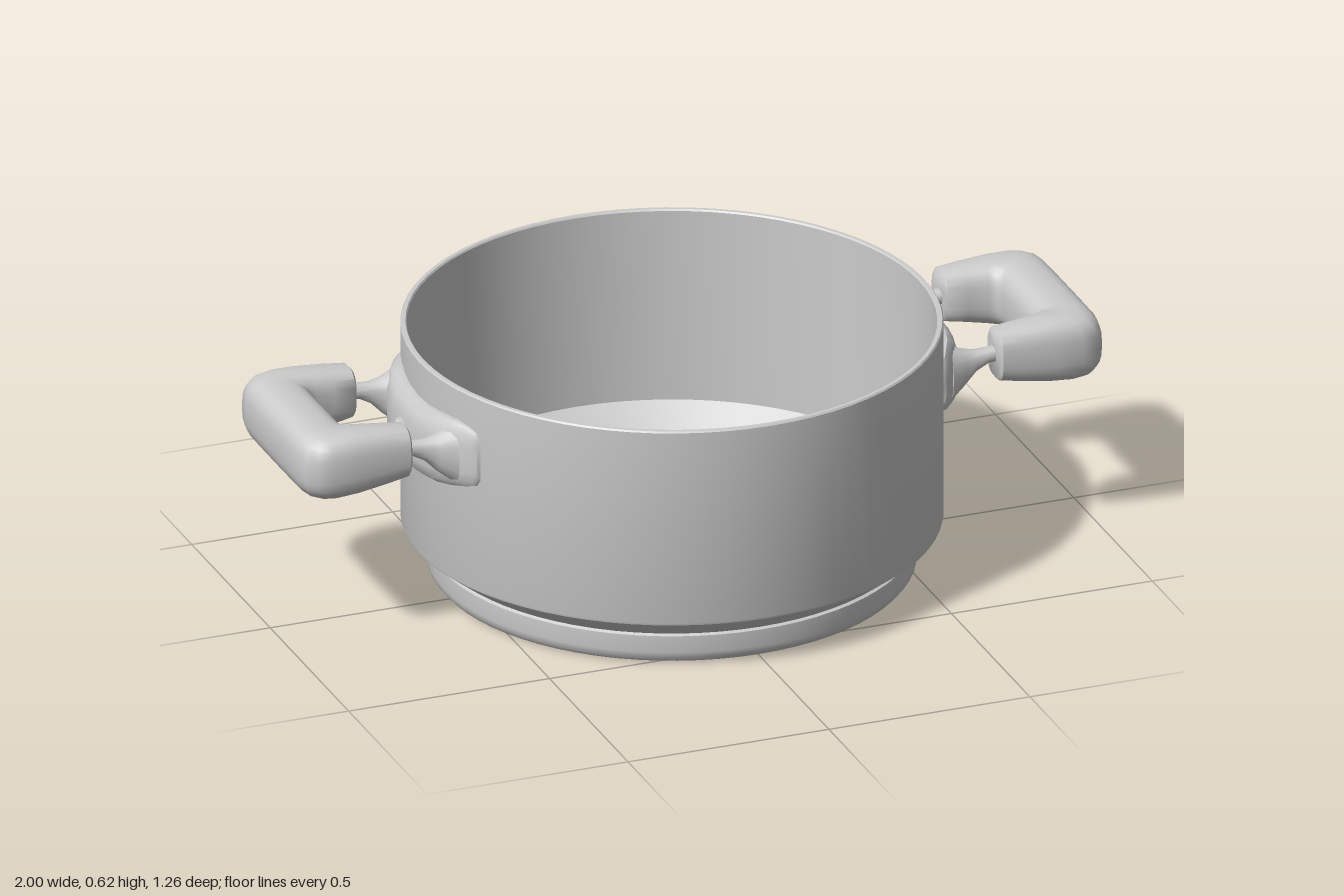
import * as THREE from 'three';
import { toCreasedNormals } from 'three/addons/utils/BufferGeometryUtils.js';

const material = new THREE.MeshStandardMaterial({ color: 0xcccccc });

function part(name, geometry, crease = 0.6) {
  const mesh = new THREE.Mesh(toCreasedNormals(geometry, crease), material);
  mesh.name = name;
  return mesh;
}

// Closed skin through equal-sized rings of [x, y, z], capped at both ends.
function loft(rings) {
  const n = rings[0].length;
  const points = rings.flat();
  const tris = [];
  for (let i = 0; i < rings.length - 1; i++) {
    for (let j = 0; j < n; j++) {
      const a = i * n + j, b = i * n + (j + 1) % n;
      tris.push([a, b, a + n], [b, b + n, a + n]);
    }
  }
  const last = (rings.length - 1) * n;
  for (let j = 1; j < n - 1; j++) {
    tris.push([0, j + 1, j], [last, last + j, last + j + 1]);
  }
  // Turn the faces outward when the rings run the other way.
  const v = points.map((p) => new THREE.Vector3(...p));
  const volume = tris.reduce((s, [a, b, c]) => s + v[a].dot(v[b].clone().cross(v[c])), 0);
  if (volume < 0) tris.forEach((t) => t.reverse());
  const geometry = new THREE.BufferGeometry();
  geometry.setAttribute('position', new THREE.Float32BufferAttribute(points.flat(), 3));
  geometry.setIndex(tris.flat());
  geometry.computeVertexNormals();
  return geometry;
}

// Unit rounded-square outline; a higher power is squarer.
function outline(count, power) {
  return Array.from({ length: count }, (_, i) => {
    const a = (i / count) * Math.PI * 2;
    const f = (t) => Math.sign(t) * Math.pow(Math.abs(t), 2 / power);
    return [f(Math.cos(a)), f(Math.sin(a))];
  });
}

function createBody() {
  const profile = [
    [0.54, 0], [0.557, 0.004], [0.567, 0.016], [0.57, 0.03], [0.57, 0.072], [0.563, 0.076],
    [0.628, 0.126], [0.63, 0.132], [0.63, 0.616], [0.627, 0.62], [0.618, 0.62], [0.615, 0.616],
    [0.615, 0.136], [0.553, 0.085], [0.553, 0.026], [0.54, 0.016], [0.54, 0],
  ].map(([r, y]) => new THREE.Vector2(r, y));
  return part('potBody', new THREE.LatheGeometry(profile, 72), 0.5);
}

// Floor disc pierced by rings of small drain holes
function createFloor() {
  const shape = new THREE.Shape().absarc(0, 0, 0.546, 0, Math.PI * 2);
  for (let ring = 1; ring <= 11; ring++) {
    const r = 0.0432 * ring;
    const count = ring === 1 ? 9 : ring < 5 ? 18 : 36;
    for (let i = 0; i < count; i++) {
      const a = (i / count) * Math.PI * 2 + Math.PI / 2;
      const hole = new THREE.Path();
      hole.absarc(r * Math.cos(a), r * Math.sin(a), 0.009, 0, Math.PI * 2, true);
      shape.holes.push(hole);
    }
  }
  const geometry = new THREE.ExtrudeGeometry(shape, { depth: 0.016, bevelEnabled: false, curveSegments: 8 });
  geometry.rotateX(-Math.PI / 2);
  geometry.translate(0, 0.001, 0);
  return part('perforatedFloor', geometry);
}

// U-shaped grip: each station is inner x, z, outer x, z, centre y, half height
function createGrip() {
  const half = [
    [0.732, 0.135, 0.732, 0.22, 0.487, 0.056],
    [0.737, 0.13, 0.737, 0.226, 0.487, 0.062],
    [0.79, 0.125, 0.79, 0.23, 0.485, 0.07],
    [0.835, 0.119, 0.87, 0.235, 0.482, 0.078],
    [0.848, 0.113, 0.935, 0.235, 0.48, 0.081],
    [0.853, 0.105, 0.97, 0.226, 0.479, 0.081],
    [0.855, 0.096, 0.991, 0.203, 0.479, 0.081],
    [0.855, 0.08, 0.999, 0.165, 0.479, 0.081],
    [0.855, 0.04, 1, 0.07, 0.479, 0.081],
  ];
  const mirrored = half.map(([a, b, c, d, y, h]) => [a, -b, c, -d, y, h]).reverse();
  const section = outline(28, 2.9);
  const rings = [...half, ...mirrored].map(([ix, iz, ox, oz, y, h]) =>
    section.map(([u, w]) => [
      (ix + ox) / 2 + (u * (ox - ix)) / 2, y + w * h, (iz + oz) / 2 + (u * (oz - iz)) / 2,
    ]));
  return part('handleGrip', loft(rings), 0.75);
}

// Bracket plate hugging the wall: half stations are z, front x, bottom y, top y
function createPlate() {
  const half = [
    [0, 0.672, 0.36, 0.53], [0.07, 0.67, 0.363, 0.532], [0.13, 0.658, 0.368, 0.538],
    [0.18, 0.638, 0.377, 0.542], [0.22, 0.612, 0.387, 0.538], [0.244, 0.595, 0.396, 0.528],
    [0.254, 0.584, 0.412, 0.508],
  ];
  const mirrored = half.slice(1).map(([z, ...rest]) => [-z, ...rest]).reverse();
  const rings = [...mirrored, ...half].map(([z, x, b, t]) => {
    const back = Math.sqrt(0.623 ** 2 - z * z);
    const depth = x - back, h = t - b;
    return [
      [back, b, z], [back + depth * 0.55, b, z], [back + depth * 0.88, b + h * 0.08, z],
      [x, b + h * 0.24, z], [x, b + h * 0.72, z], [back + depth * 0.8, b + h * 0.92, z],
      [back + depth * 0.45, t, z], [back, t, z],
    ];
  });
  return part('bracketPlate', loft(rings), 0.7);
}

// Prong flaring from the grip end into the plate
function createProng(side) {
  const stations = [
    [0.76, 0.487, 0.018, 0.02], [0.715, 0.484, 0.018, 0.02], [0.685, 0.475, 0.026, 0.021],
    [0.655, 0.463, 0.045, 0.03], [0.615, 0.455, 0.07, 0.05],
  ];
  const section = outline(16, 2.5);
  const rings = stations.map(([x, y, h, w]) =>
    section.map(([u, v]) => [x, y + v * h, side * 0.172 + u * w]));
  return part('bracketProng', loft(rings), 0.8);
}

function createHandle(name) {
  const handle = new THREE.Group();
  handle.name = name;
  const rivet = part('rivet', new THREE.SphereGeometry(0.022, 16, 10), 1);
  rivet.scale.x = 0.75;
  rivet.position.set(0.674, 0.46, 0);
  handle.add(createGrip(), createPlate(), createProng(1), createProng(-1), rivet);
  return handle;
}

export function createModel() {
  const model = new THREE.Group();
  model.name = 'steamerPot';
  const left = createHandle('leftHandle');
  const right = createHandle('rightHandle');
  right.rotation.y = Math.PI;
  model.add(createBody(), createFloor(), left, right);
  return model;
}
